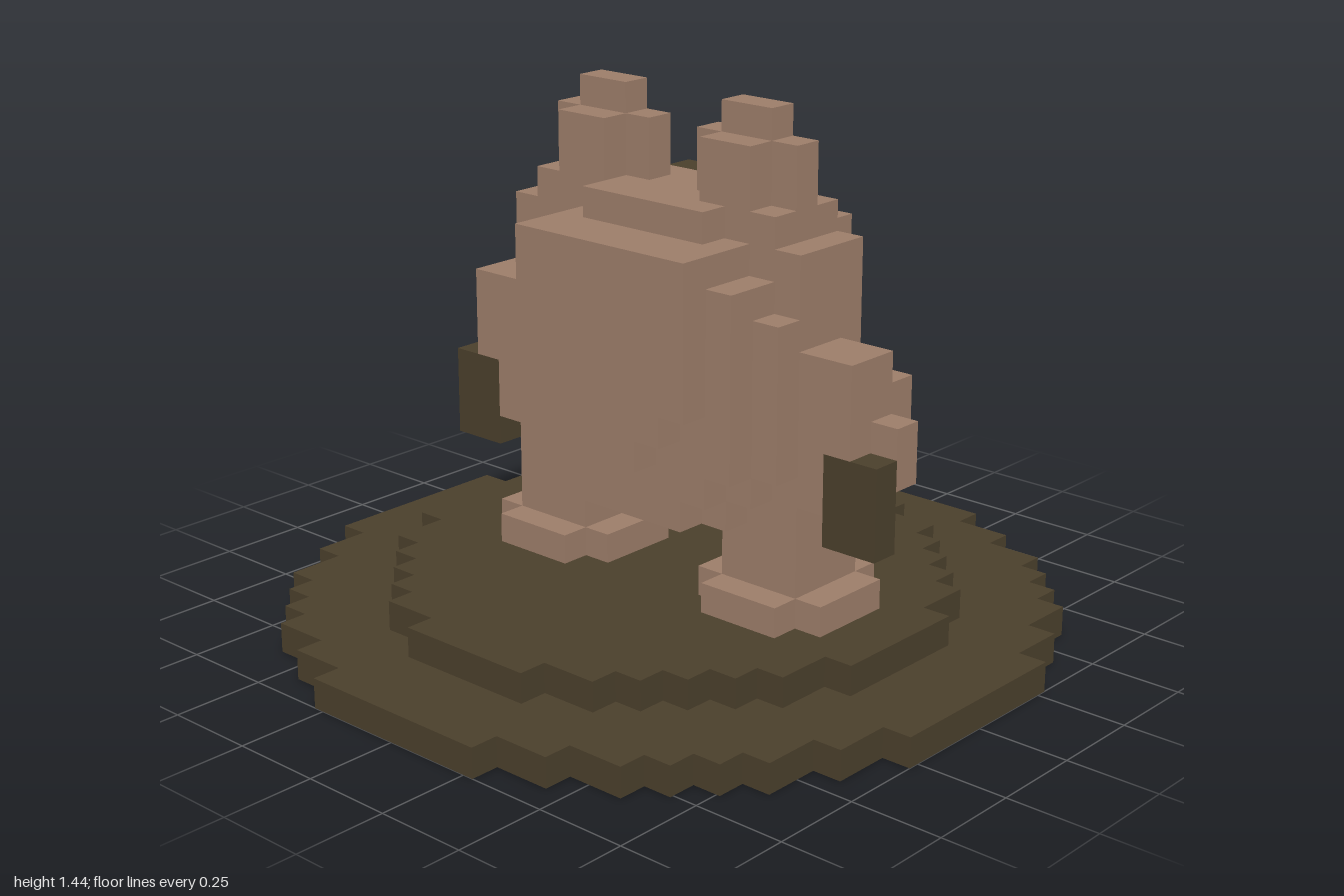
import * as THREE from 'three';

const fur = new THREE.MeshStandardMaterial({ color: 0x9c7d69 });
fur.name = 'brown fur';
const dark = new THREE.MeshStandardMaterial({ color: 0x4a3f2b });
dark.name = 'dark olive';
const white = new THREE.MeshStandardMaterial({ color: 0xcacaca });
white.name = 'eye white';

const V = 0.08; // block size

// Axis-aligned block given by its limits
function block(parent, name, mat, x0, x1, y0, y1, z0, z1) {
  const mesh = new THREE.Mesh(new THREE.BoxGeometry(x1 - x0, y1 - y0, z1 - z0), mat);
  mesh.position.set((x0 + x1) / 2, (y0 + y1) / 2, (z0 + z1) / 2);
  mesh.name = name;
  parent.add(mesh);
  return mesh;
}

function part(parent, name) {
  const g = new THREE.Group();
  g.name = name;
  parent.add(g);
  return g;
}

// Stepped round slab; widths[i] is the half width, in blocks, of row i from the middle
function steppedDisc(name, widths, y) {
  const quarter = [];
  widths.forEach((w, i) => {
    const x = (w + 0.5) * V;
    quarter.push([x, Math.max(0, i - 0.5) * V], [x, (i + 0.5) * V]);
  });
  const back = [...quarter].reverse();
  const outline = [
    ...quarter,
    ...back.map(([x, z]) => [-x, z]),
    ...quarter.map(([x, z]) => [-x, -z]),
    ...back.map(([x, z]) => [x, -z]),
  ];
  const points = outline
    .filter((p, i) => i === 0 || p[0] !== outline[i - 1][0] || p[1] !== outline[i - 1][1])
    .map(([x, z]) => new THREE.Vector2(x, z));
  points.pop();
  const geo = new THREE.ExtrudeGeometry(new THREE.Shape(points), { depth: V, bevelEnabled: false });
  geo.rotateX(-Math.PI / 2);
  const mesh = new THREE.Mesh(geo, dark);
  mesh.position.y = y;
  mesh.name = name;
  return mesh;
}

export function createModel() {
  const model = new THREE.Group();
  model.name = 'blockAnimalOnBase';

  // Two-tier base
  model.add(steppedDisc('lowerBase', [12, 12, 12, 12, 11, 11, 10, 10, 9, 8, 7, 5, 3], 0));
  model.add(steppedDisc('upperBase', [9, 9, 9, 8, 8, 7, 6, 5, 4, 2], V));

  // Torso slab
  const body = part(model, 'body');
  block(body, 'torso', fur, -0.44, 0.52, 0.48, 1.12, -0.12, 0.12);
  block(body, 'torsoTop', fur, -0.36, 0.44, 1.12, 1.2, -0.12, 0.12);
  block(body, 'torsoBottom', fur, -0.2, 0.28, 0.4, 0.48, -0.12, 0.12);

  // Rounded bulge: each row is [x half width, low y, high y, front z]
  const bulge = part(model, 'roundedBulge');
  const rows = [
    [0.44, 0.56, 0.96, 0.2], [0.36, 0.48, 1.04, 0.2], [0.28, 0.4, 1.12, 0.2], [0.2, 0.4, 1.2, 0.2],
    [0.36, 0.56, 1.04, 0.28], [0.28, 0.48, 1.12, 0.28], [0.2, 0.4, 1.12, 0.28],
    [0.28, 0.72, 1.12, 0.36], [0.2, 0.64, 1.12, 0.36], [0.12, 0.56, 1.12, 0.36],
  ];
  for (const [w, y0, y1, z] of rows) block(bulge, 'bulgeLayer', fur, 0.08 - w, 0.08 + w, y0, y1, 0.04, z);

  // Limbs and ears, mirrored about x = 0.04
  for (const s of [1, -1]) {
    const side = s > 0 ? 'left' : 'right';
    const pair = (g, name, mat, a, b, ...rest) => {
      const p = 0.04 + s * a, q = 0.04 + s * b;
      return block(g, name, mat, Math.min(p, q), Math.max(p, q), ...rest);
    };

    const leg = part(model, side + 'Leg');
    pair(leg, 'leg', fur, 0.24, 0.48, 0.16, 0.48, -0.12, 0.12);
    pair(leg, 'footLength', fur, 0.24, 0.48, 0.16, 0.24, -0.2, 0.2);
    pair(leg, 'footWidth', fur, 0.16, 0.56, 0.16, 0.24, -0.12, 0.12);

    const arm = part(model, side + 'Arm');
    pair(arm, 'shoulder', fur, 0.48, 0.64, 0.64, 0.88, -0.04, 0.12);
    pair(arm, 'shoulderBack', fur, 0.48, 0.64, 0.64, 0.8, -0.12, -0.04);
    pair(arm, 'upperArm', fur, 0.48, 0.56, 0.48, 0.64, -0.12, 0.12);
    pair(arm, 'forearm', fur, 0.56, 0.72, 0.64, 0.72, -0.04, 0.04);
    pair(arm, 'wrist', fur, 0.56, 0.72, 0.56, 0.64, -0.04, 0.04);
    pair(arm, 'hand', dark, 0.56, 0.72, 0.4, 0.64, 0.04, 0.12);

    const ear = part(model, side + 'Ear');
    pair(ear, 'earBase', fur, 0.08, 0.4, 1.2, 1.36, -0.04, 0.04);
    pair(ear, 'earFront', fur, 0.16, 0.32, 1.2, 1.36, 0.04, 0.12);
    pair(ear, 'earTip', fur, 0.16, 0.32, 1.36, 1.44, -0.04, 0.04);
    pair(ear, 'innerEar', dark, 0.16, 0.32, 1.2, 1.36, -0.044, -0.038);
  }

  // Dark face mask with stepped corners
  const face = part(model, 'face');
  for (const [w, y0, y1] of [[0.36, 0.64, 1.04], [0.28, 0.56, 1.12], [0.2, 0.48, 1.2]])
    block(face, 'faceMask', dark, 0.08 - w, 0.08 + w, y0, y1, -0.2, -0.12);

  // Brows and eyes either side of the nose
  for (const c of [-0.08, 0.24]) {
    block(face, 'brow', fur, c - 0.12, c + 0.12, 0.96, 1.12, -0.28, -0.2);
    block(face, 'eye', white, c - 0.12, c + 0.12, 0.88, 0.96, -0.204, -0.198);
    for (const d of [-0.08, 0.08])
      block(face, 'eyeLower', white, c + d - 0.04, c + d + 0.04, 0.8, 0.88, -0.204, -0.198);
  }

  // Muzzle with a dark nose block
  block(face, 'muzzleBack', fur, -0.04, 0.2, 0.64, 0.8, -0.28, -0.2);
  block(face, 'muzzleFront', fur, -0.04, 0.2, 0.64, 0.72, -0.36, -0.28);
  block(face, 'muzzleCheek', fur, -0.04, 0.04, 0.72, 0.8, -0.36, -0.28);
  block(face, 'muzzleCheek', fur, 0.12, 0.2, 0.72, 0.8, -0.36, -0.28);
  block(face, 'nose', dark, 0.04, 0.12, 0.72, 0.8, -0.36, -0.28);
  block(face, 'chin', fur, 0.04, 0.12, 0.56, 0.64, -0.36, -0.2);

  return model;
}
